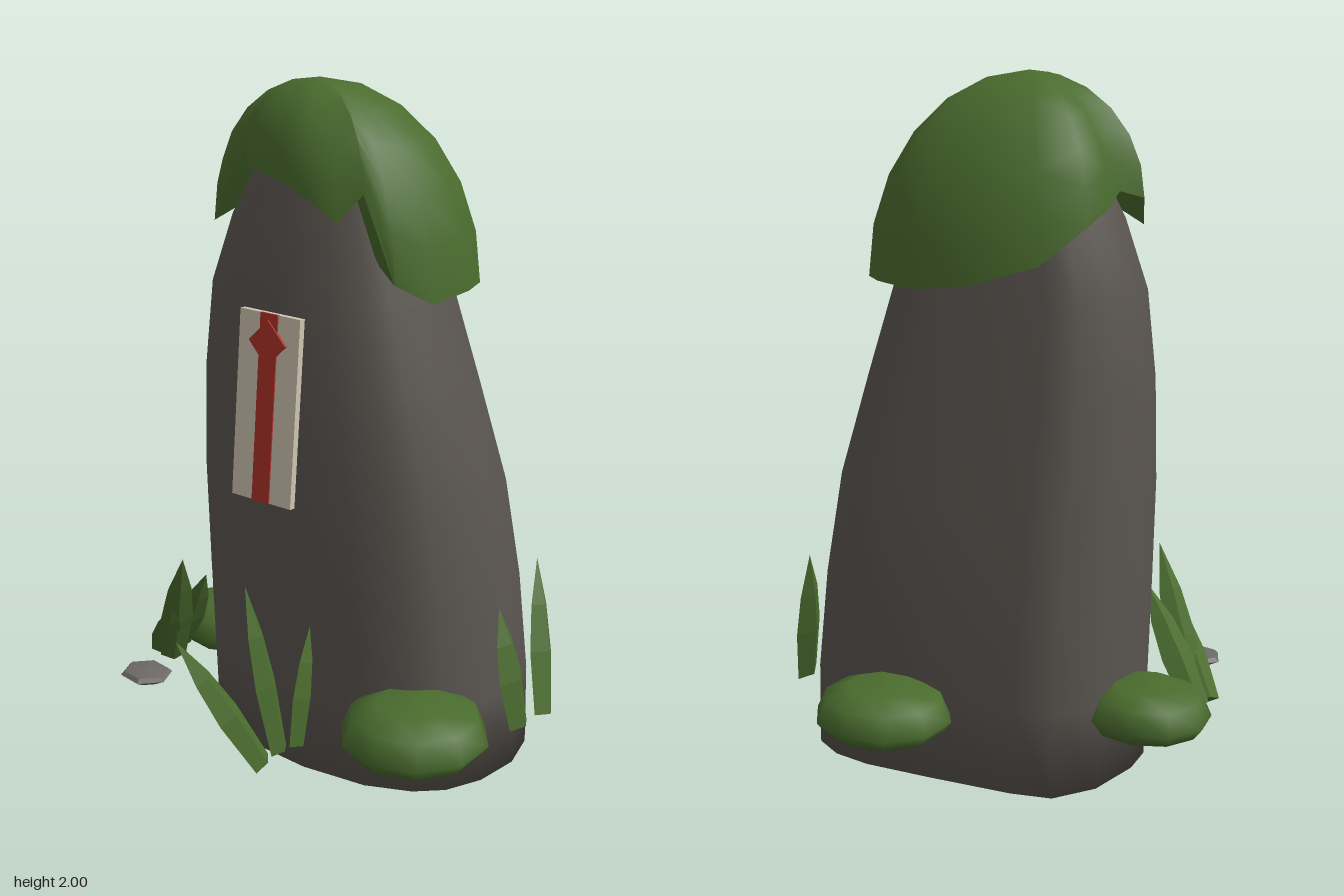
import * as THREE from 'three';
import { mergeVertices, toCreasedNormals } from 'three/addons/utils/BufferGeometryUtils.js';

const mat = (name, color) => Object.assign(new THREE.MeshStandardMaterial({ color }), { name });

// Skin a list of rings (each a list of [x, y, z]) from bottom to top; end rings may be collapsed points.
function loft(rings) {
  const n = rings[0].length, index = [];
  for (let i = 0; i < rings.length - 1; i++) {
    for (let j = 0; j < n; j++) {
      const k = (j + 1) % n;
      const a = i * n + j, b = i * n + k, c = b + n, d = a + n;
      index.push(a, d, c, a, c, b);
    }
  }
  const geo = new THREE.BufferGeometry();
  geo.setAttribute('position', new THREE.Float32BufferAttribute(rings.flat(2), 3));
  geo.setIndex(index);
  const merged = mergeVertices(geo);
  merged.computeVertexNormals();
  return merged;
}

const lathe = (points, sides) =>
  new THREE.LatheGeometry(points.map(([r, y]) => new THREE.Vector2(r, y)), sides);

// Plan outline of the boulder at its widest (x, z)
const PLAN = [
  [-0.42, -0.13], [-0.36, -0.26], [-0.25, -0.31], [0, -0.38], [0.2, -0.43], [0.32, -0.435],
  [0.42, -0.4], [0.48, -0.27], [0.49, -0.12], [0.46, 0], [0.4, 0.08], [0.28, 0.16],
  [0.08, 0.22], [-0.2, 0.245], [-0.3, 0.23], [-0.39, 0.16], [-0.42, 0.05],
];
// Boulder extents by height: y, left, right, back, front
const LEVELS = [
  [0, -0.41, 0.5, -0.43, 0.235], [0.25, -0.415, 0.495, -0.43, 0.24],
  [0.55, -0.42, 0.465, -0.415, 0.245], [0.85, -0.42, 0.43, -0.375, 0.25],
  [1.15, -0.412, 0.355, -0.32, 0.235], [1.4, -0.385, 0.285, -0.275, 0.215],
  [1.6, -0.325, 0.225, -0.235, 0.17], [1.75, -0.25, 0.18, -0.2, 0.13],
  [1.88, -0.16, 0.1, -0.13, 0.08],
];
// Hanging hem of the moss (x, y, z)
const HEM = [
  [-0.36, 1.6, -0.13], [-0.28, 1.5, -0.24], [-0.1, 1.44, -0.33], [0.07, 1.42, -0.355],
  [0.2, 1.43, -0.35], [0.28, 1.43, -0.3], [0.33, 1.43, -0.2], [0.35, 1.42, -0.04],
  [0.3, 1.48, 0.06], [0.22, 1.72, 0.1], [0.17, 1.64, 0.15], [0.1, 1.7, 0.19],
  [0, 1.74, 0.2], [-0.15, 1.76, 0.19], [-0.22, 1.81, 0.14], [-0.28, 1.7, 0.15],
  [-0.34, 1.58, 0.16], [-0.375, 1.66, 0.11], [-0.335, 1.68, 0.05], [-0.355, 1.64, -0.03],
];

function boulderGeometry() {
  const rings = LEVELS.map(([y, l, r, b, f]) => PLAN.map(([x, z]) => [
    l + (r - l) * (x + 0.42) / 0.91, y, b + (f - b) * (z + 0.435) / 0.68]));
  rings.unshift(PLAN.map(() => [0.03, 0, -0.1]));
  rings.push(PLAN.map(() => [-0.04, 1.93, -0.02]));
  return loft(rings);
}

function mossGeometry() {
  const [ax, ay, az] = [-0.05, 2, 0.01];
  const rings = [
    HEM.map(() => [ax, 1.85, az]),
    HEM.map(([x, y, z]) => [ax + (x - ax) * 0.8, y + 0.04, az + (z - az) * 0.8]),
  ];
  const steps = 6;
  for (let i = steps; i >= 0; i--) {
    const t = (i / steps) * Math.PI / 2, s = Math.sin(t), c = Math.cos(t);
    rings.push(HEM.map(([x, y, z]) => [ax + (x - ax) * s, y + (ay - y) * c, az + (z - az) * s]));
  }
  return toCreasedNormals(loft(rings), 1);
}

export function createModel() {
  const model = new THREE.Group();
  const stone = mat('stone', 0x5a5550);
  const green = mat('moss green', 0x4a6c2e);
  const paper = mat('paper', 0xd2c6b2);
  const red = mat('red', 0xb03229);
  const pebbleGrey = mat('pebble grey', 0x6c6866);

  const add = (parent, name, geometry, material) => {
    const mesh = new THREE.Mesh(geometry, material);
    mesh.name = name;
    parent.add(mesh);
    return mesh;
  };

  add(model, 'boulder', boulderGeometry(), stone);
  add(model, 'mossCap', mossGeometry(), green);

  // Paper strip with a red band and diamond, leaning with the stone face
  const strip = new THREE.Group();
  strip.name = 'paperStrip';
  strip.position.set(-0.022, 1.1, 0.238);
  strip.rotation.set(-0.08, 0.17, 0);
  model.add(strip);
  add(strip, 'paper', new THREE.BoxGeometry(0.215, 0.545, 0.02), paper);
  add(strip, 'redBand', new THREE.BoxGeometry(0.062, 0.546, 0.008), red).position.z = 0.01;
  const diamond = add(strip, 'redDiamond', new THREE.BoxGeometry(0.092, 0.092, 0.009), red);
  diamond.position.set(0, 0.19, 0.014);
  diamond.rotation.z = Math.PI / 4;

  // Flat-bottomed bushes: centre x, z, half sizes, height, turn
  const bushGeo = lathe([[0, 0], [0.85, 0], [1, 0.28], [0.86, 0.75], [0.5, 0.97], [0, 1]], 10);
  [
    [0.455, 0.115, 0.215, 0.215, 0.15, 0.2],
    [-0.49, 0, 0.19, 0.175, 0.13, 0.3],
    [0.085, -0.48, 0.205, 0.19, 0.13, 0.1],
  ].forEach(([x, z, rx, rz, h, turn], i) => {
    const bush = add(model, 'bush' + (i + 1), bushGeo.clone().rotateY(turn), green);
    bush.position.set(x, 0.175, z);
    bush.scale.set(rx, h, rz);
  });

  // Grass blades: base point, tip point, half width; each tuft has its own broad direction
  const bladeGeo = toCreasedNormals(
    lathe([[0, 0], [0.8, 0], [1, 0.4], [0.72, 0.7], [0, 1]], 4), 0.3);
  const tufts = {
    frontGrass: { wide: [0.3, 0, 1], blades: [
      [[0.21, 0.16, 0.47], [0.08, 0.55, 0.66], 0.05],
      [[0.2, 0.17, 0.4], [0.11, 0.66, 0.44], 0.048],
      [[0.22, 0.18, 0.35], [0.2, 0.52, 0.28], 0.05],
    ] },
    sideGrass: { wide: [-0.5, 0, 0.85], blades: [
      [[-0.5, 0.17, 0.24], [-0.29, 0.59, 0.35], 0.05],
      [[-0.54, 0.18, 0.25], [-0.3, 0.44, 0.39], 0.045],
      [[-0.54, 0.18, 0.19], [-0.32, 0.5, 0.24], 0.05],
    ] },
    rearGrass: { wide: [0.2, 0, 1], blades: [
      [[0.56, 0.17, -0.32], [0.43, 0.6, -0.42], 0.058],
      [[0.56, 0.17, -0.21], [0.48, 0.52, -0.2], 0.06],
    ] },
  };
  for (const [name, { wide, blades }] of Object.entries(tufts)) {
    const tuft = new THREE.Group();
    tuft.name = name;
    model.add(tuft);
    for (const [base, tip, w] of blades) {
      const y = new THREE.Vector3(...tip).sub(new THREE.Vector3(...base));
      const length = y.length();
      y.normalize();
      const z = new THREE.Vector3(...wide).cross(y).normalize();
      const x = y.clone().cross(z);
      const blade = add(tuft, 'blade', bladeGeo, green);
      blade.position.set(...base);
      blade.quaternion.setFromRotationMatrix(new THREE.Matrix4().makeBasis(x, y, z));
      blade.scale.set(w, length, w * 0.55);
    }
  }

  // Small flat pebble in the front corner
  const pebble = add(model, 'pebble', toCreasedNormals(
    lathe([[0, 0], [0.5, 0], [1, 0.5], [0.85, 0.75], [0, 1]], 6).rotateY(Math.PI / 6), 0.5), pebbleGrey);
  pebble.position.set(-0.37, 0.195, 0.44);
  pebble.scale.set(0.085, 0.045, 0.075);
  return model;
}
